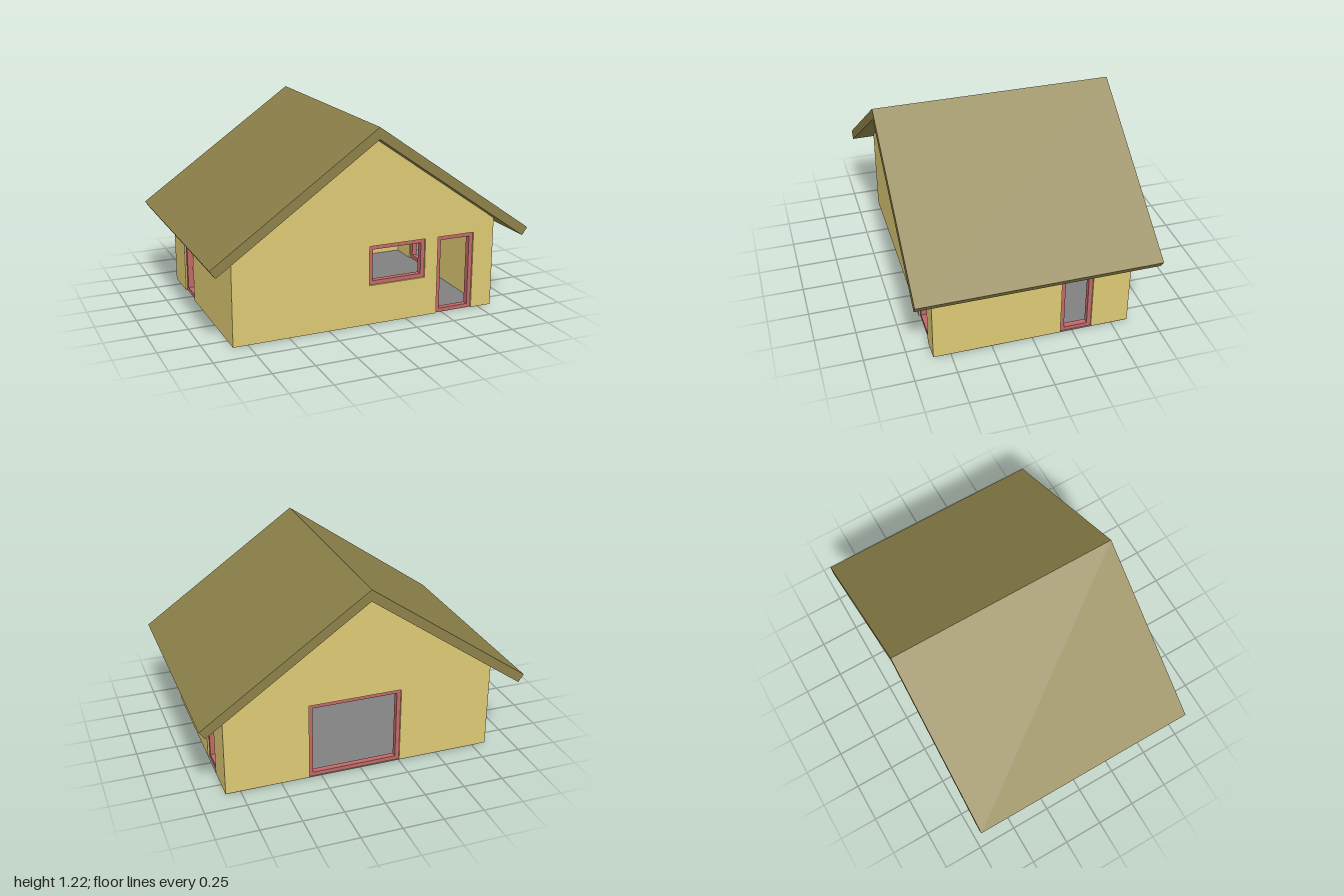
import * as THREE from 'three';

const X = 0.84, Z = 0.605, T = 0.055;      // house half width, half depth, wall thickness
const RIDGE = 1.15, EAVE = 0.562;          // wall heights under the roof
const FRAME_W = 0.025, FRAME_D = 0.035;

const material = (color) =>
  new THREE.MeshStandardMaterial({ color, flatShading: true, side: THREE.DoubleSide });
const wallMat = material(0xdcc873);
const roofMat = material(0x8c8049);
const frameMat = material(0xc06868);
const floorMat = material(0x808080);

const vectors = (points) => points.map(([x, y]) => new THREE.Vector2(x, y));
const rect = (a, b, y0, y1) => vectors([[a, y0], [b, y0], [b, y1], [a, y1]]);

function extrude(name, shape, depth, mat) {
  const mesh = new THREE.Mesh(
    new THREE.ExtrudeGeometry(shape, { depth, bevelEnabled: false }), mat);
  mesh.name = name;
  return mesh;
}

// Wall standing in local xy, thickness along +z; each opening gets a frame
function makeWall(name, half, top, openings) {
  const group = new THREE.Group();
  group.name = name;

  // doors notch the bottom edge, windows are holes
  const outline = [[-half, 0]];
  for (const { a, b, y0, y1 } of openings)
    if (y0 === 0) outline.push([a, 0], [a, y1], [b, y1], [b, 0]);
  outline.push([half, 0], ...top);
  const shape = new THREE.Shape(vectors(outline));
  for (const { a, b, y0, y1 } of openings)
    if (y0 > 0) shape.holes.push(new THREE.Path(rect(a, b, y0, y1)));
  group.add(extrude(name + 'Panel', shape, T, wallMat));

  for (const { kind, a, b, y0, y1 } of openings) {
    const border = new THREE.Shape(rect(a, b, y0, y1));
    border.holes.push(new THREE.Path(
      rect(a + FRAME_W, b - FRAME_W, y0 + FRAME_W, y1 - FRAME_W)));
    const frame = extrude(kind + 'Frame', border, FRAME_D, frameMat);
    frame.position.z = (T - FRAME_D) / 2;
    group.add(frame);
  }
  return group;
}

export function createModel() {
  const house = new THREE.Group();
  house.name = 'house';

  // Gable walls
  const gable = [[X, EAVE], [0, RIDGE], [-X, EAVE]];
  const front = makeWall('frontWall', X, gable, [
    { kind: 'window', a: 0.005, b: 0.372, y0: 0.245, y1: 0.488 },
    { kind: 'frontDoor', a: 0.457, b: 0.702, y0: 0, y1: 0.488 },
  ]);
  front.position.z = Z - T;
  const back = makeWall('backWall', X, gable, [
    { kind: 'patioDoor', a: -0.255, b: 0.325, y0: 0, y1: 0.488 },
  ]);
  back.position.z = -Z;
  house.add(front, back);

  // Side walls, each with a narrow door
  const half = Z - T;
  for (const [name, x] of [['leftWall', X - T], ['rightWall', -X]]) {
    const side = makeWall(name, half, [[half, EAVE], [-half, EAVE]], [
      { kind: 'sideDoor', a: 0.177, b: 0.372, y0: 0, y1: 0.488 },
    ]);
    side.rotation.y = Math.PI / 2;
    side.position.x = x;
    house.add(side);
  }

  // Pitched roof slab with overhangs
  const roof = extrude('roof', new THREE.Shape(vectors([
    [0, 1.22], [-1, 0.52], [-0.967, 0.473], [0, RIDGE], [0.967, 0.473], [1, 0.52],
  ])), 1.46, roofMat);
  roof.position.z = -0.73;
  house.add(roof);

  // Thin floor, reaching under the back and left walls
  const floor = new THREE.Mesh(
    new THREE.PlaneGeometry(2 * X - T, 2 * Z - T), floorMat);
  floor.name = 'floor';
  floor.rotation.x = -Math.PI / 2;
  floor.position.set(T / 2, -0.001, -T / 2);
  house.add(floor);

  return house;
}
